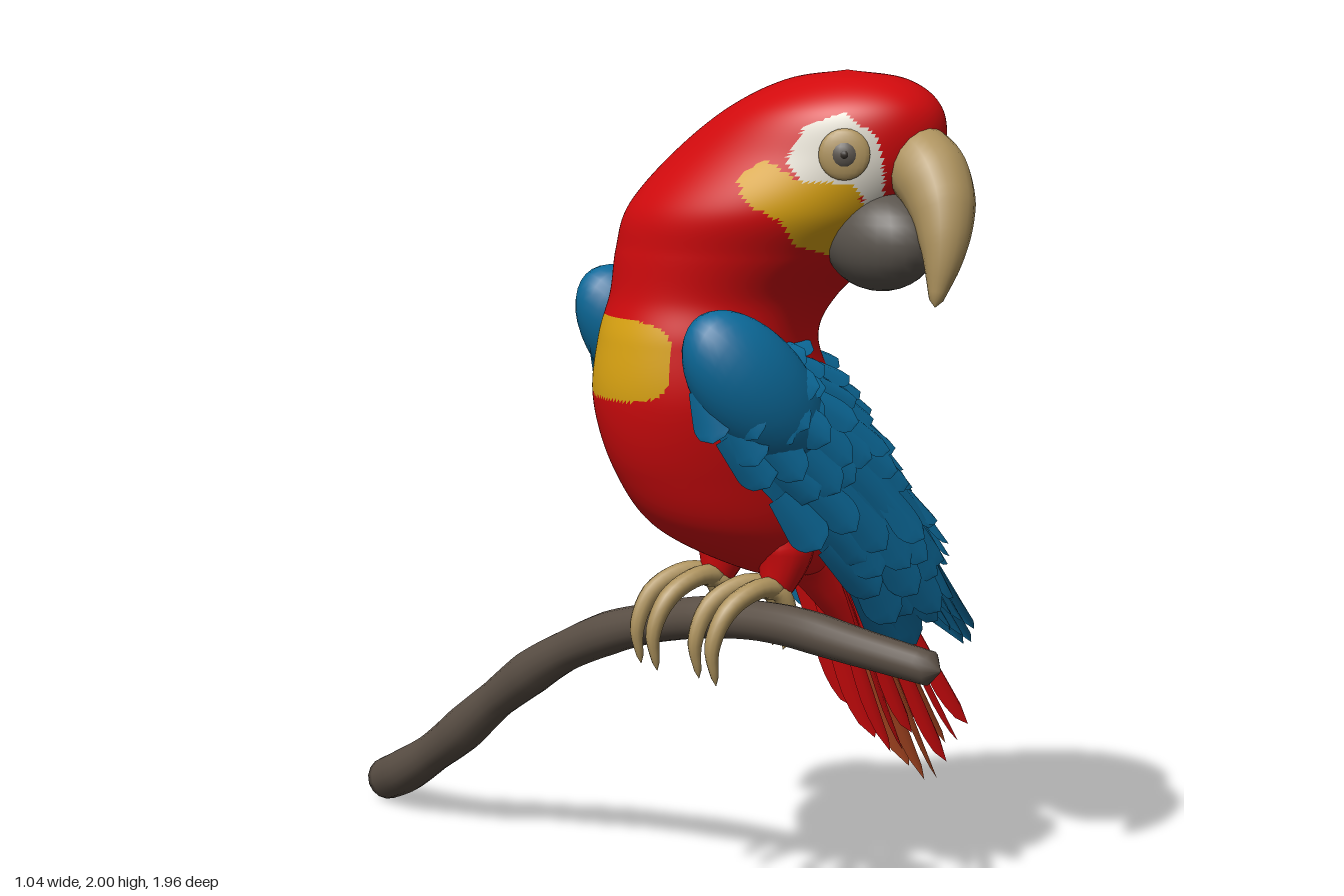
import * as THREE from 'three';
import { mergeGeometries, mergeVertices } from 'three/addons/utils/BufferGeometryUtils.js';

const V = (a) => new THREE.Vector3(...a);
const curve = (pts) => new THREE.CatmullRomCurve3(pts.map(V), false, 'catmullrom', 0.5);

function paint(name, hex, side = THREE.FrontSide) {
  const m = new THREE.MeshStandardMaterial({ color: hex, side });
  m.name = name;
  return m;
}

function add(parent, name, geometry, material) {
  const mesh = new THREE.Mesh(geometry, material);
  mesh.name = name;
  parent.add(mesh);
  return mesh;
}

// Round tube along a path; radii are spread evenly, ends close to a point
function sweep(pts, radii, segs = 24, sides = 14) {
  const c = curve(pts);
  const g = new THREE.TubeGeometry(c, segs, 1, sides, false);
  const p = g.attributes.position, v = new THREE.Vector3();
  for (let i = 0; i <= segs; i++) {
    const at = c.getPointAt(i / segs), f = (i / segs) * (radii.length - 1);
    const k = Math.min(Math.floor(f), radii.length - 2);
    const end = i === 0 || i === segs;
    const r = end ? 0.0005 : THREE.MathUtils.lerp(radii[k], radii[k + 1], f - k);
    for (let j = 0; j <= sides; j++) {
      const n = i * (sides + 1) + j;
      v.fromBufferAttribute(p, n).sub(at).multiplyScalar(r).add(at);
      p.setXYZ(n, v.x, v.y, v.z);
    }
  }
  g.deleteAttribute('uv');
  g.deleteAttribute('normal');
  const out = mergeVertices(g, 1e-5);
  out.computeVertexNormals();
  return out;
}

// Grid surface from a function of (row 0..1, column 0..1)
function grid(fn, rows, cols) {
  const pos = [], idx = [];
  for (let i = 0; i <= rows; i++)
    for (let j = 0; j <= cols; j++) pos.push(...fn(i / rows, j / cols));
  for (let i = 0; i < rows; i++)
    for (let j = 0; j < cols; j++) {
      const a = i * (cols + 1) + j, b = a + cols + 1;
      idx.push(a, b, a + 1, a + 1, b, b + 1);
    }
  const g = new THREE.BufferGeometry();
  g.setAttribute('position', new THREE.Float32BufferAttribute(pos, 3));
  g.setIndex(idx);
  g.computeVertexNormals();
  return g;
}

// Unit feather: root at the origin, tip at y = 1, arched across its width
const feather = grid((s, c) => {
  const w = s < 0.7 ? 0.3 + (0.2 * s) / 0.7 : 0.5 * Math.sqrt(Math.max(0, 1 - ((s - 0.7) / 0.3) ** 2));
  const x = (1 - 2 * c) * w;
  return [x, s, -0.7 * x * x];
}, 12, 4);

function placeFeather(root, tip, normal, width) {
  const y = tip.clone().sub(root), len = y.length();
  y.normalize();
  const x = y.clone().cross(normal).normalize(), z = x.clone().cross(y);
  const m = new THREE.Matrix4().makeBasis(x.multiplyScalar(width), y.multiplyScalar(len), z.multiplyScalar(width));
  return feather.clone().applyMatrix4(m.setPosition(root));
}

// Body and head rings: y, min x, max x, min z, max z, diagonal lean
const RINGS = [
  [0.82, 0.04, 0.04, 0.36, 0.36, 0], [0.85, -0.1, 0.13, 0.26, 0.46, 0],
  [0.96, -0.31, 0.16, 0.18, 0.53, 0], [1.1, -0.41, 0.17, 0.13, 0.57, 0],
  [1.26, -0.455, 0.12, 0.1, 0.6, 0], [1.4, -0.445, 0.06, 0.12, 0.6, 0],
  [1.5, -0.42, 0.09, 0.15, 0.62, 0.08], [1.6, -0.41, 0.17, 0.16, 0.7, 0.18],
  [1.7, -0.39, 0.19, 0.2, 0.78, 0.27], [1.82, -0.3, 0.2, 0.28, 0.835, 0.34],
  [1.92, -0.21, 0.19, 0.38, 0.83, 0.25], [1.98, -0.1, 0.13, 0.48, 0.75, 0.15],
  [2.0, 0.01, 0.01, 0.62, 0.62, 0]];

// Face markings: right cheek outlined in (x, y), left cheek in (z, y)
const WHITE_R = [[-0.165, 1.885], [-0.1, 1.915], [-0.04, 1.86], [-0.01, 1.74], [-0.03, 1.69], [-0.08, 1.765], [-0.18, 1.77], [-0.2, 1.81]];
const YELLOW_R = [[-0.28, 1.77], [-0.23, 1.815], [-0.185, 1.77], [-0.085, 1.765], [-0.03, 1.69], [-0.08, 1.605], [-0.17, 1.63], [-0.215, 1.685], [-0.27, 1.72]];
const WHITE_L = [[0.74, 1.82], [0.67, 1.845], [0.57, 1.79], [0.53, 1.735], [0.59, 1.715], [0.65, 1.67], [0.74, 1.7]];
const YELLOW_L = [[0.7, 1.67], [0.625, 1.59], [0.535, 1.62], [0.475, 1.68], [0.48, 1.73], [0.53, 1.74], [0.6, 1.72]];

function inside(poly, x, y) {
  let hit = false;
  poly.forEach(([ax, ay], i) => {
    const [bx, by] = poly[(i + 1) % poly.length];
    if ((ay > y) !== (by > y) && x < ax + ((y - ay) * (bx - ax)) / (by - ay)) hit = !hit;
  });
  return hit;
}

function bodyColour({ x, y, z }) {
  const right = z > 0.5 && x < 0.06, left = x > 0.06;
  if ((right && inside(WHITE_R, x, y)) || (left && inside(WHITE_L, z, y))) return 2;
  if ((right && inside(YELLOW_R, x, y)) || (left && inside(YELLOW_L, z, y))) return 1;
  if (x < -0.3 && ((z - 0.365) / 0.16) ** 4 + ((y - 1.365) / 0.09) ** 4 < 1) return 1;
  return 0;
}

function bodyGeometry() {
  const a = curve(RINGS.map((r) => r.slice(0, 3))), b = curve(RINGS.map((r) => r.slice(3)));
  const g = grid((s, c) => {
    const p = a.getPoint(s), q = b.getPoint(s), t = c * Math.PI * 2;
    const lean = Math.asin(THREE.MathUtils.clamp(q.z, -0.9, 0.9));
    return [(p.y + p.z) / 2 + ((p.z - p.y) / 2) * Math.cos(t), p.x,
      (q.x + q.y) / 2 + ((q.y - q.x) / 2) * Math.sin(t + lean)];
  }, 180, 150);
  const body = mergeVertices(g.deleteAttribute('normal'), 1e-5);
  body.computeVertexNormals();
  // Sort the faces into colour groups
  const p = body.attributes.position, old = body.index.array, lists = [[], [], []];
  for (let i = 0; i < old.length; i += 3) {
    const mid = new THREE.Vector3();
    for (let k = 0; k < 3; k++) mid.add(new THREE.Vector3().fromBufferAttribute(p, old[i + k]));
    lists[bodyColour(mid.divideScalar(3))].push(old[i], old[i + 1], old[i + 2]);
  }
  body.setIndex(lists.flat());
  let start = 0;
  lists.forEach((l, i) => { body.addGroup(start, l.length, i); start += l.length; });
  return body;
}

// Wing lies between an upper and a lower edge and bulges outwards
const UPPER = curve([[-0.31, 1.43, 0.57], [-0.12, 1.42, 0.49], [0.05, 1.34, 0.42], [0.18, 1.18, 0.42], [0.29, 1.0, 0.44], [0.35, 0.7, 0.43]]);
const LOWER = curve([[-0.37, 1.33, 0.6], [-0.3, 1.19, 0.63], [-0.12, 1.0, 0.63], [0.04, 0.85, 0.59], [0.14, 0.73, 0.53], [0.24, 0.6, 0.45]]);
function wingPoint(u, v) {
  const bulge = Math.sin(Math.PI * v) * 0.115 * Math.sqrt(Math.sin(Math.PI * (0.2 + 0.76 * u)));
  return LOWER.getPoint(u).lerp(UPPER.getPoint(u), v).add(V([0.2, 0.3, 1]).multiplyScalar(bulge));
}

function makeWing(name, blue, seed) {
  const random = () => (seed = (seed * 16807) % 2147483647) / 2147483647;
  const wing = new THREE.Group();
  wing.name = name;
  add(wing, 'wingShell', grid((u, v) => wingPoint(u * 0.9, v).toArray(), 28, 14), blue);
  const shoulder = add(wing, 'shoulder', new THREE.SphereGeometry(1, 32, 20), blue);
  shoulder.scale.set(0.22, 0.125, 0.105);
  shoulder.position.set(-0.215, 1.305, 0.61);
  shoulder.rotation.z = -0.85;
  const parts = [];
  for (let row = 0; row < 10; row++) {
    const u = 0.03 + row * 0.077, count = 7;
    for (let k = 0; k < count; k++) {
      const v = (k + (row % 2 ? 0.75 : 0.25)) / count;
      const length = (0.13 + 0.011 * row) * (0.85 + 0.45 * random()), width = 0.08 + 0.02 * random();
      const root = wingPoint(u, v);
      const along = wingPoint(u + 0.04, v).sub(root).normalize();
      const across = wingPoint(u, Math.min(1, v + 0.03)).sub(wingPoint(u, v - 0.03)).normalize();
      const n = along.clone().cross(across).normalize();
      const tip = root.clone().addScaledVector(along, length).addScaledVector(n, 0.012 + 0.02 * random())
        .addScaledVector(across, (random() - 0.5) * 0.05);
      parts.push(placeFeather(root.addScaledVector(n, 0.004), tip, n, width));
    }
  }
  add(wing, 'wingFeathers', mergeGeometries(parts), blue);
  return wing;
}

export function createModel() {
  const model = new THREE.Group();
  model.name = 'parrotOnBranch';
  const D = THREE.DoubleSide;
  const red = paint('red', 0xd20a0d, D), yellow = paint('yellow', 0xdba412), white = paint('white', 0xe2ddd0);
  const blue = paint('blue', 0x0c6a9a, D), rust = paint('rust', 0xb04a24, D);
  const tan = paint('tan', 0xae935e), grey = paint('grey', 0x5a544d), bark = paint('bark', 0x5a4f45), dark = paint('dark', 0x332c26);

  const body = bodyGeometry();
  add(model, 'bodyAndHead', body, [red, yellow, white]);

  // Eyes sit on the nearest body point
  const p = body.attributes.position, v = new THREE.Vector3();
  for (const [name, target] of [['rightEye', V([-0.105, 1.825, 0.79])], ['leftEye', V([0.2, 1.765, 0.663])]]) {
    let best = 0, near = 9;
    for (let i = 0; i < p.count; i++) {
      const d = v.fromBufferAttribute(p, i).distanceTo(target);
      if (d < near) { near = d; best = i; }
    }
    const eye = new THREE.Group();
    eye.name = name;
    eye.position.fromBufferAttribute(p, best);
    eye.quaternion.setFromUnitVectors(V([0, 0, 1]), v.fromBufferAttribute(body.attributes.normal, best));
    [[tan, 0.055, 0.016], [grey, 0.034, 0.021], [dark, 0.016, 0.024]].forEach(([m, r, depth], i) =>
      add(eye, ['eyeRing', 'iris', 'pupil'][i], new THREE.SphereGeometry(1, 20, 12), m).scale.set(r, r, depth));
    model.add(eye);
  }

  // Beak
  add(model, 'upperBeak', sweep([[0.07, 1.8, 0.72], [0.08, 1.8, 0.81], [0.08, 1.73, 0.885], [0.06, 1.63, 0.93], [0.03, 1.51, 0.945]],
    [0.08, 0.085, 0.083, 0.072, 0.055, 0.034, 0.01], 28, 18), tan);
  const jaw = add(model, 'lowerBeak', new THREE.SphereGeometry(1, 24, 16), grey);
  jaw.scale.set(0.1, 0.108, 0.14);
  jaw.position.set(0.01, 1.637, 0.76);
  jaw.rotation.y = 0.25;

  // Wings
  model.add(makeWing('leftWing', blue, 11));
  const rightWing = makeWing('rightWing', blue, 47);
  rightWing.scale.z = -1;
  rightWing.position.set(0, 0.055, 0.7);
  model.add(rightWing);

  // Long flight feathers folded over the back
  const flight = [-2, -1, 0, 1, 2].map((k) => placeFeather(
    V([0.17 - 0.01 * Math.abs(k), 1.16, 0.37 + 0.04 * k]),
    V([0.515 - 0.008 * k * k, 0.6 + 0.015 * k * k, 0.37 + 0.045 * k]), V([0.85, 0.5, 0]), 0.16));
  add(model, 'flightFeathers', mergeGeometries(flight), blue);

  // Tail: three layers, each curved round like a half tube
  const tail = { red: [], rust: [] };
  [[0.46, 0.36], [0.4, 0.275], [0.3, 0.36]].forEach(([tipX, tipY], layer) => {
    for (let k = -2; k <= 2; k++) {
      const off = Math.abs(k), turn = k * 0.45;
      const root = V([0.19 - 0.04 * layer - 0.01 * off, 0.88, 0.375 + 0.06 * k]);
      const tip = V([tipX - 0.005 * off * off, tipY + 0.02 * off * off, 0.38 + 0.062 * k]);
      const kind = (layer === 0 && k === 0) || (layer === 1 && off < 2) ? 'rust' : 'red';
      tail[kind].push(placeFeather(root, tip, V([0.85 * Math.cos(turn), 0.5 * Math.cos(turn), Math.sin(turn)]), 0.08));
    }
  });
  add(model, 'tailFeathers', mergeGeometries(tail.red), red);
  add(model, 'rustTailFeathers', mergeGeometries(tail.rust), rust);
  add(model, 'tailBase', sweep([[0.0, 0.96, 0.37], [0.1, 0.88, 0.37], [0.2, 0.72, 0.375], [0.26, 0.58, 0.38]], [0.1, 0.1, 0.08, 0.055, 0.02]), red);

  // Legs and toes gripping the branch
  for (const [name, x, z] of [['leftFoot', -0.12, 0.46], ['rightFoot', -0.17, 0.27]]) {
    const foot = new THREE.Group();
    foot.name = name;
    foot.position.set(x, 0, z);
    add(foot, 'thigh', sweep([[0.07, 1.0, -0.02], [0.07, 0.9, 0], [0.05, 0.81, 0]], [0.08, 0.07, 0.035]), red);
    for (const side of [-1, 1]) {
      const dz = 0.04 * side;
      add(foot, 'frontToe', sweep([[0.06, 0.82, dz * 0.3], [-0.02, 0.83, dz * 0.8], [-0.1, 0.79, dz], [-0.14, 0.71, dz], [-0.13, 0.62, dz]],
        [0.026, 0.024, 0.023, 0.018, 0.006], 18, 10), tan);
      add(foot, 'backToe', sweep([[0.0, 0.825, dz * 0.4], [0.05, 0.81, dz * 0.6], [0.075, 0.74, dz * 0.6], [0.055, 0.68, dz * 0.6]],
        [0.022, 0.022, 0.017, 0.006], 16, 10), tan);
    }
    model.add(foot);
  }

  // Branch
  add(model, 'branch', sweep([[0.07, 0.71, 0.93], [-0.02, 0.735, 0.75], [-0.1, 0.755, 0.55], [-0.17, 0.74, 0.35], [-0.22, 0.7, 0.18],
    [-0.27, 0.64, 0], [-0.325, 0.54, -0.2], [-0.375, 0.405, -0.4], [-0.425, 0.25, -0.6], [-0.46, 0.125, -0.8], [-0.465, 0.045, -0.98]],
  [0.038, 0.042, 0.048, 0.046, 0.05, 0.047, 0.053, 0.05, 0.057, 0.05, 0.058, 0.052, 0.06, 0.057], 80, 16), bark);

  return model;
}
